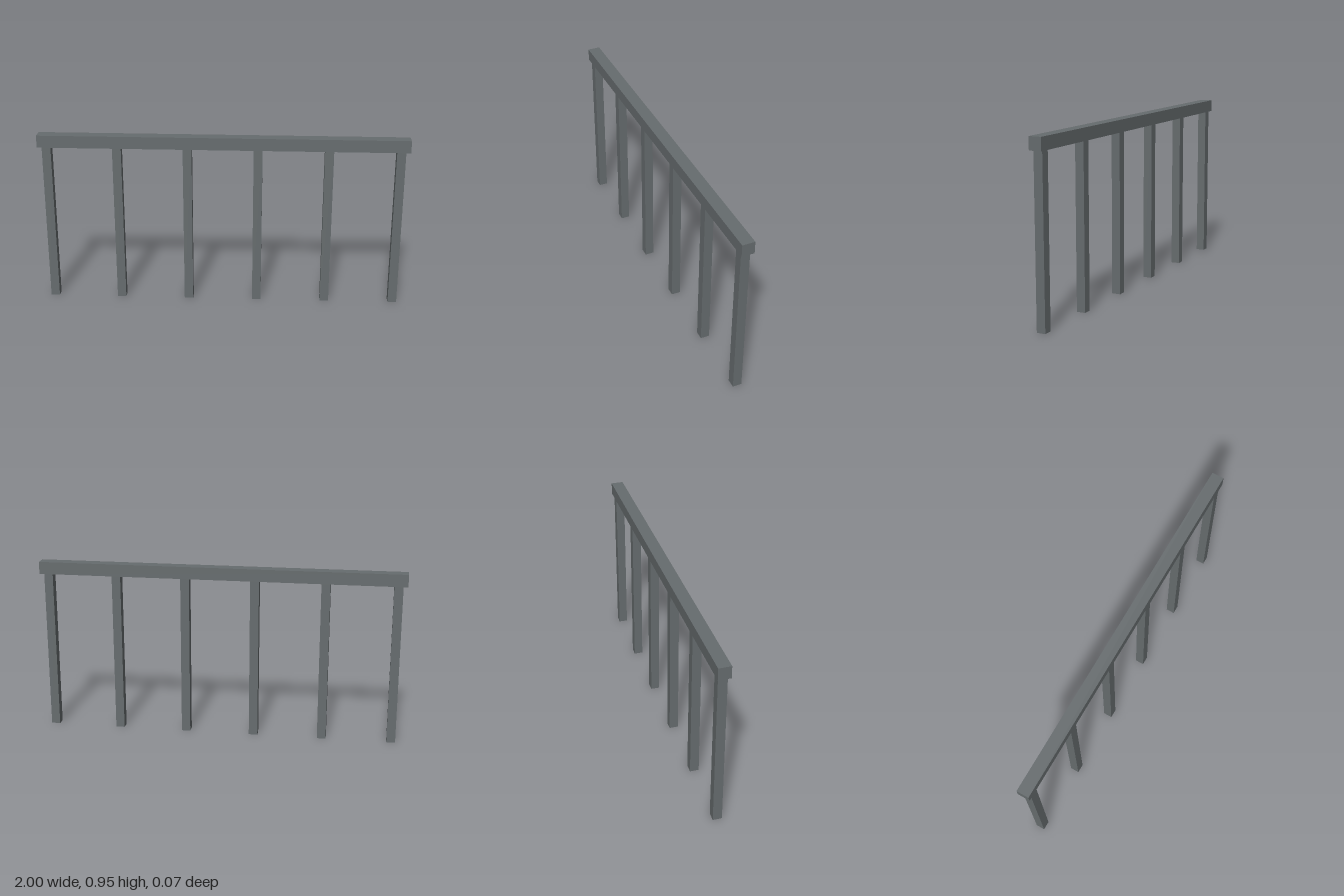
import * as THREE from 'three';

export function createModel() {
  const group = new THREE.Group();
  const material = new THREE.MeshStandardMaterial({ color: 0x666c6e });
  const railSize = 0.067, railBottom = 0.881, postSize = 0.048;
  const postCount = 6, postReach = 0.952;

  const addBox = (name, w, h, d, x, y) => {
    const mesh = new THREE.Mesh(new THREE.BoxGeometry(w, h, d), material);
    mesh.name = name;
    mesh.position.set(x, y, 0);
    group.add(mesh);
  };

  // Square top rail
  addBox('topRail', 2, railSize, railSize, 0, railBottom + railSize / 2);

  // Evenly spaced posts from the ground to the underside of the rail
  for (let i = 0; i < postCount; i++) {
    const x = postReach * (2 * i / (postCount - 1) - 1);
    addBox(`post${i + 1}`, postSize, railBottom, postSize, x, railBottom / 2);
  }
  return group;
}
